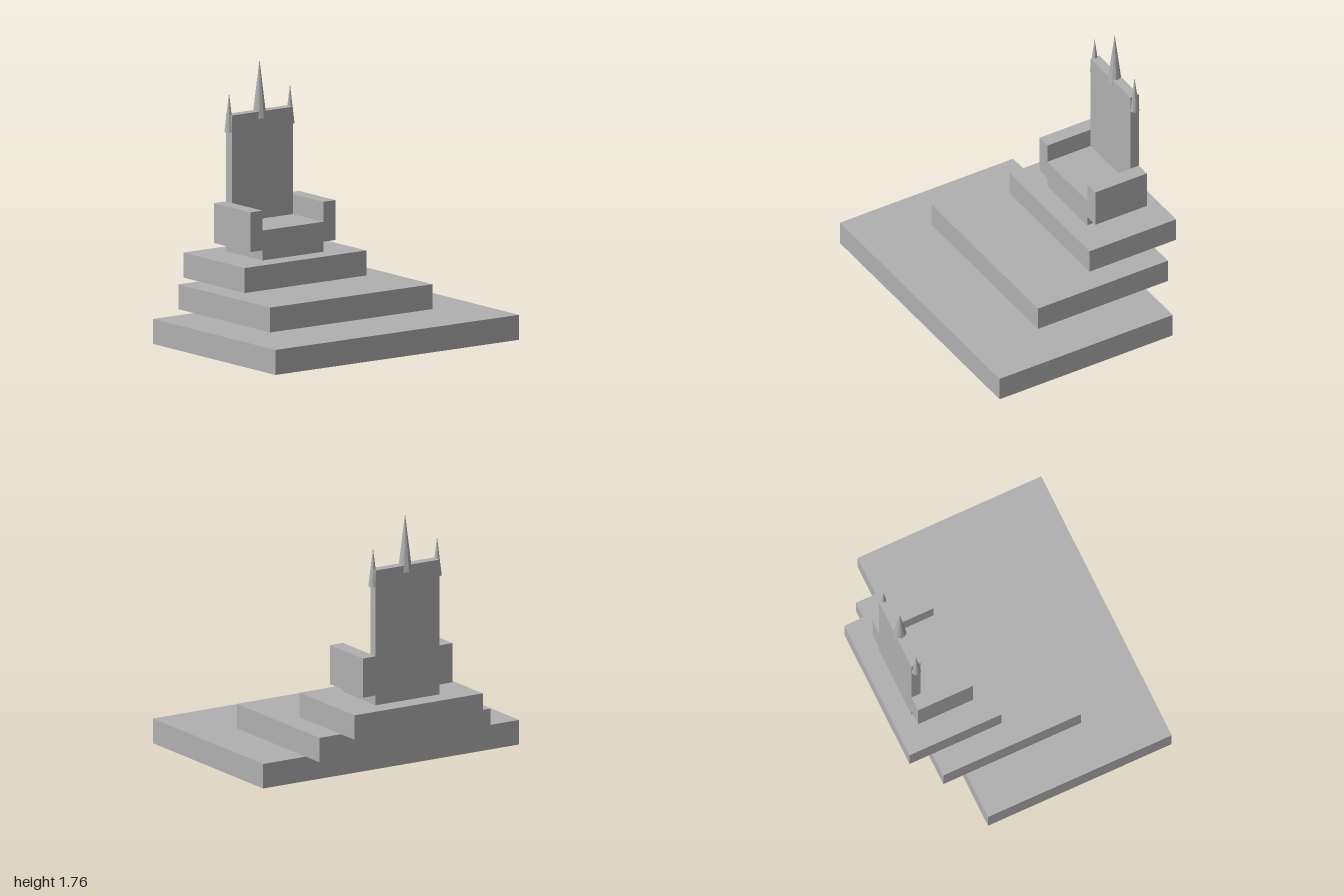
import * as THREE from 'three';

export function createModel() {
  const group = new THREE.Group();
  const stone = new THREE.MeshStandardMaterial({ color: 0xb0b0b0, flatShading: true });
  stone.name = 'grey stone';

  function add(name, geometry, x, y, z) {
    const mesh = new THREE.Mesh(geometry, stone);
    mesh.name = name;
    mesh.position.set(x, y, z);
    group.add(mesh);
  }

  // Box given by its lower and upper limits on each axis
  function block(name, x0, x1, y0, y1, z0, z1) {
    add(name, new THREE.BoxGeometry(x1 - x0, y1 - y0, z1 - z0),
      (x0 + x1) / 2, (y0 + y1) / 2, (z0 + z1) / 2);
  }

  // Ten-sided spire given by its base and tip heights
  function spire(name, x, radius, y0, y1) {
    add(name, new THREE.ConeGeometry(radius, y1 - y0, 10), x, (y0 + y1) / 2, -0.667);
  }

  // Stepped dais, each slab set further back
  block('lowerStep', -1, 1, 0, 0.167, -0.5, 0.833);
  block('middleStep', -0.667, 0.667, 0.167, 0.333, -0.667, 0.333);
  block('upperStep', -0.5, 0.5, 0.333, 0.5, -0.833, -0.167);

  // Throne
  block('seat', -0.25, 0.25, 0.5, 0.7, -0.7, -0.303);
  block('backrest', -0.25, 0.25, 0.7, 1.417, -0.7, -0.635);
  block('leftArm', 0.25, 0.35, 0.567, 0.833, -0.7, -0.303);
  block('rightArm', -0.35, -0.25, 0.567, 0.833, -0.7, -0.303);

  // Spires along the top of the backrest
  spire('centreSpire', 0, 0.048, 1.37, 1.76);
  spire('leftSpire', 0.25, 0.032, 1.303, 1.565);
  spire('rightSpire', -0.25, 0.032, 1.303, 1.565);

  return group;
}
